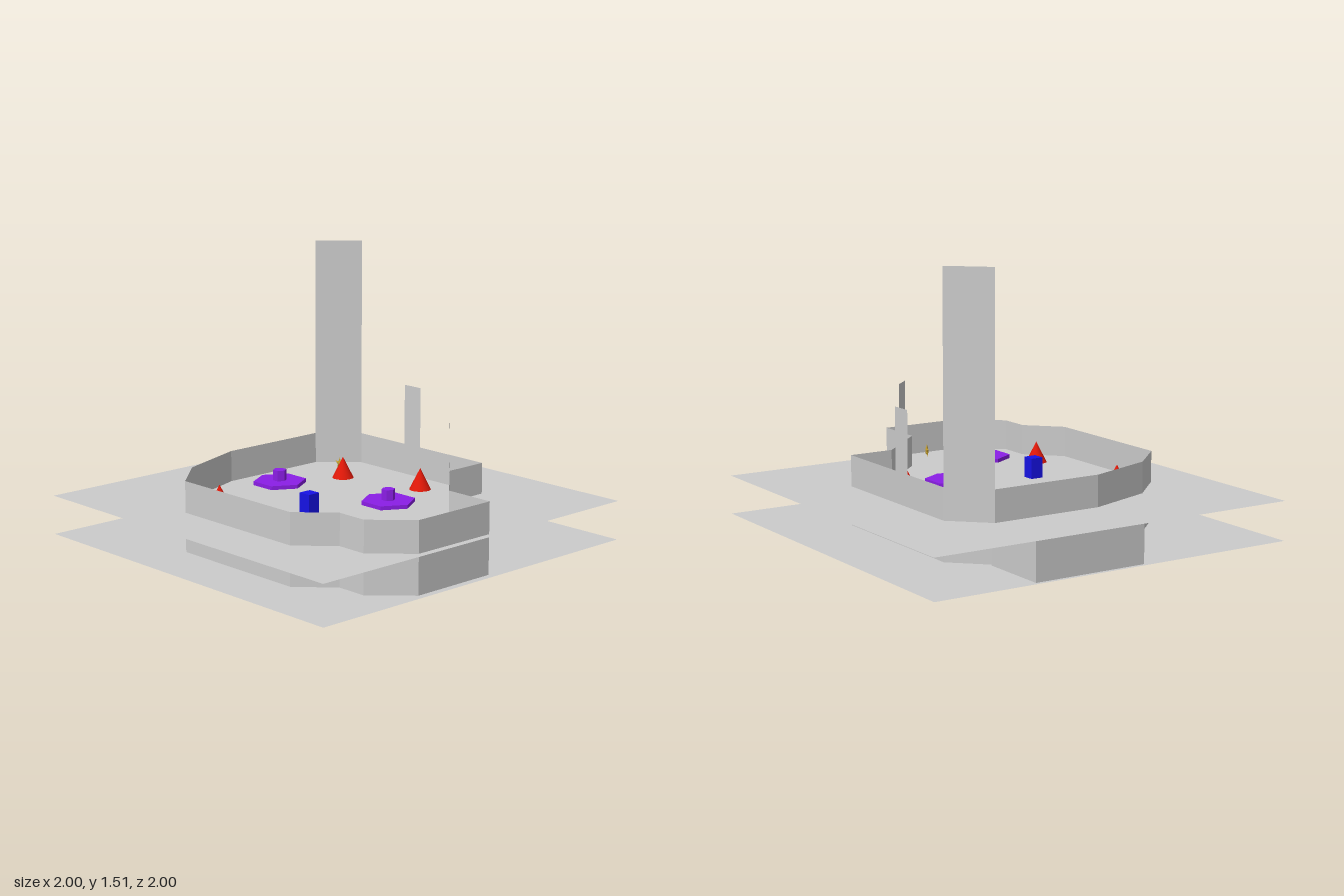
import * as THREE from 'three';

const LOWER = 0.12, UPPER = 0.32, WALL_TOP = 0.48;
const grey = new THREE.MeshStandardMaterial({ color: 0xcccccc, side: THREE.DoubleSide });
const paint = (color, flatShading = true) => new THREE.MeshStandardMaterial({ color, flatShading });
const red = paint(0xe01808, false), purple = paint(0x8b1ee6), blue = paint(0x1612e6), gold = paint(0xc09a2a);

function add(parent, name, geometry, material, x = 0, y = 0, z = 0) {
  const mesh = new THREE.Mesh(geometry, material);
  mesh.name = name;
  mesh.position.set(x, y, z);
  parent.add(mesh);
  return mesh;
}

// Upright thin panel between two floor points [x, z]
function panel(parent, name, a, b, y0, y1) {
  const dx = b[0] - a[0], dz = b[1] - a[1];
  const mesh = add(parent, name, new THREE.PlaneGeometry(Math.hypot(dx, dz), y1 - y0), grey,
    (a[0] + b[0]) / 2, (y0 + y1) / 2, (a[1] + b[1]) / 2);
  mesh.rotation.y = Math.atan2(-dz, dx);
}

function panelChain(parent, name, points, y0, y1) {
  const group = new THREE.Group();
  group.name = name;
  for (let i = 0; i + 1 < points.length; i++) panel(group, name + 'Panel', points[i], points[i + 1], y0, y1);
  parent.add(group);
}

// Five-pointed star with raised centres: a ten-sided bipyramid with alternating rim radii
function starGeometry(r, depth) {
  const g = new THREE.SphereGeometry(1, 10, 2);
  const p = g.attributes.position;
  for (let i = 0; i < p.count; i++) {
    const k = r * ((i % 11) % 2 ? 0.45 : 1);
    p.setXYZ(i, p.getX(i) * k, p.getY(i) * depth, p.getZ(i) * k);
  }
  g.rotateX(Math.PI / 2).rotateZ(-Math.PI / 2);
  g.computeVertexNormals();
  return g;
}

export function createModel() {
  const model = new THREE.Group();
  model.name = 'arena';

  // Two square floors
  for (const [name, y] of [['lowerFloor', LOWER], ['upperFloor', UPPER]])
    add(model, name, new THREE.PlaneGeometry(2, 2).rotateX(-Math.PI / 2), grey, 0, y, 0);

  // Perimeter wall, closed at the back corner by the tower panel
  panelChain(model, 'perimeterWall', [
    [-0.44, -0.605], [0.44, -0.605], [0.44, -0.37], [0.7, -0.095], [0.965, -0.095], [0.965, 0.375],
    [0.79, 0.555], [0.63, 0.555], [0.465, 0.715], [-0.3, 0.715], [-0.485, 0.52], [-0.61, 0.16], [-0.61, -0.43],
  ], LOWER, WALL_TOP);
  panel(model, 'tower', [-0.61, -0.43], [-0.44, -0.605], 0, 1.515);

  // Side alcove between the floors
  panelChain(model, 'alcoveWall', [[-0.61, 0.16], [-0.98, 0.16], [-0.98, -0.45], [-0.61, -0.45]], LOWER, UPPER);

  // Narrow uprights on the wall
  panel(model, 'backPillar', [-0.115, -0.605], [0, -0.605], WALL_TOP, 0.795);
  panel(model, 'sidePillar', [0.53, -0.272], [0.61, -0.188], WALL_TOP, 0.795);

  // Cones
  for (const [x, z] of [[0.165, -0.44], [-0.275, -0.315], [-0.28, 0.515], [0.425, 0.505]])
    add(model, 'cone', new THREE.ConeGeometry(0.055, 0.11, 32), red, x, UPPER + 0.055, z);

  // Hexagonal pads, each with a short stem
  for (const [x, z] of [[0.25, -0.13], [-0.403, 0.01], [0.655, 0.325]]) {
    const pad = new THREE.Group();
    pad.name = 'hexagonalPad';
    pad.position.set(x, UPPER, z);
    pad.rotation.y = Math.PI / 6;
    add(pad, 'padBase', new THREE.CylinderGeometry(0.137, 0.137, 0.02, 6), purple, 0, 0.01, 0);
    add(pad, 'padStem', new THREE.CylinderGeometry(0.035, 0.035, 0.055, 6), purple, 0, 0.0475, 0);
    model.add(pad);
  }

  // Block
  add(model, 'block', new THREE.BoxGeometry(0.067, 0.105, 0.067), blue, 0.12, UPPER + 0.0525, 0.28);

  // Stars
  for (const [x, z, turn] of [[-0.395, -0.405, 0], [0.848, 0.085, -0.3]])
    add(model, 'star', starGeometry(0.035, 0.009), gold, x, UPPER + 0.035, z).rotation.y = turn;

  return model;
}
